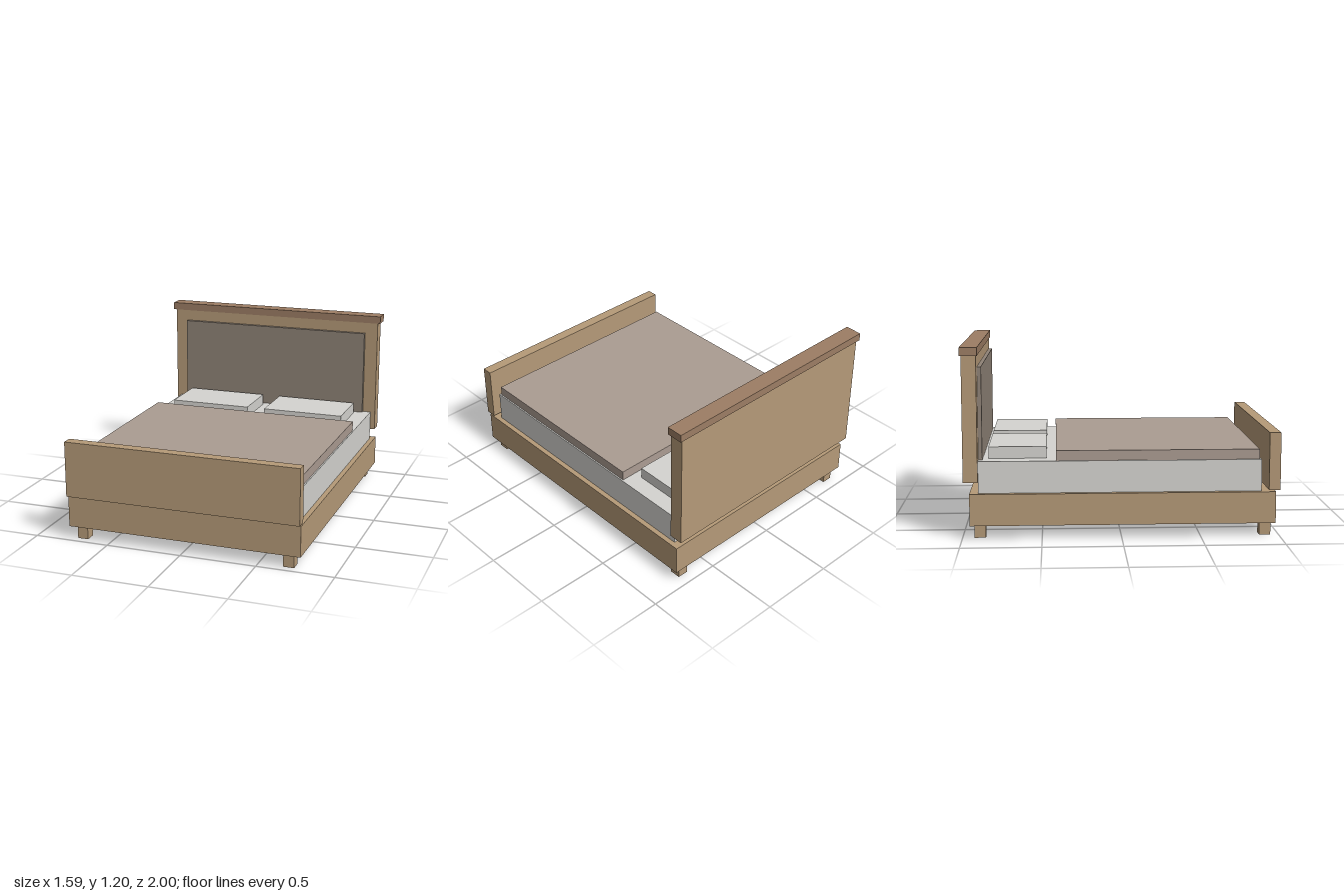
import * as THREE from 'three';

const paint = (color) => new THREE.MeshStandardMaterial({ color });

export function createModel() {
  const bed = new THREE.Group();
  bed.name = 'bed';
  const wood = paint(0xb59a78);
  const darkWood = paint(0x9c7d64);
  const upholstery = paint(0x8f8377);
  const linen = paint(0xd5d4d0);
  const cover = paint(0xab9c92);

  // Box given by its lower and upper limits on each axis
  function addBox(name, material, [x0, x1], [y0, y1], [z0, z1]) {
    const mesh = new THREE.Mesh(new THREE.BoxGeometry(x1 - x0, y1 - y0, z1 - z0), material);
    mesh.position.set((x0 + x1) / 2, (y0 + y1) / 2, (z0 + z1) / 2);
    mesh.name = name;
    bed.add(mesh);
  }

  // Wooden base and end boards
  addBox('frame', wood, [-0.777, 0.777], [0.085, 0.286], [-0.952, 0.973]);
  addBox('footboard', wood, [-0.777, 0.777], [0.296, 0.662], [0.928, 1]);
  addBox('headboard', wood, [-0.777, 0.777], [0.36, 1.152], [-0.99, -0.898]);
  addBox('headboardCap', darkWood, [-0.796, 0.796], [1.152, 1.203], [-1, -0.89]);
  addBox('headboardPanel', upholstery, [-0.687, 0.687], [0.435, 1.075], [-0.898, -0.872]);

  // Bedding
  addBox('mattress', linen, [-0.744, 0.744], [0.286, 0.488], [-0.898, 0.886]);
  addBox('blanket', cover, [-0.735, 0.735], [0.488, 0.552], [-0.41, 0.872]);

  // Mirrored pillows and legs
  for (const [side, s] of [['left', 1], ['right', -1]]) {
    const span = (a, b) => (s > 0 ? [a, b] : [-b, -a]);
    addBox(`${side}Pillow`, linen, span(0.064, 0.632), [0.488, 0.563], [-0.836, -0.471]);
    addBox(`${side}FrontLeg`, wood, span(0.66, 0.73), [0, 0.085], [0.876, 0.948]);
    addBox(`${side}BackLeg`, wood, span(0.66, 0.73), [0, 0.085], [-0.925, -0.853]);
  }
  return bed;
}
